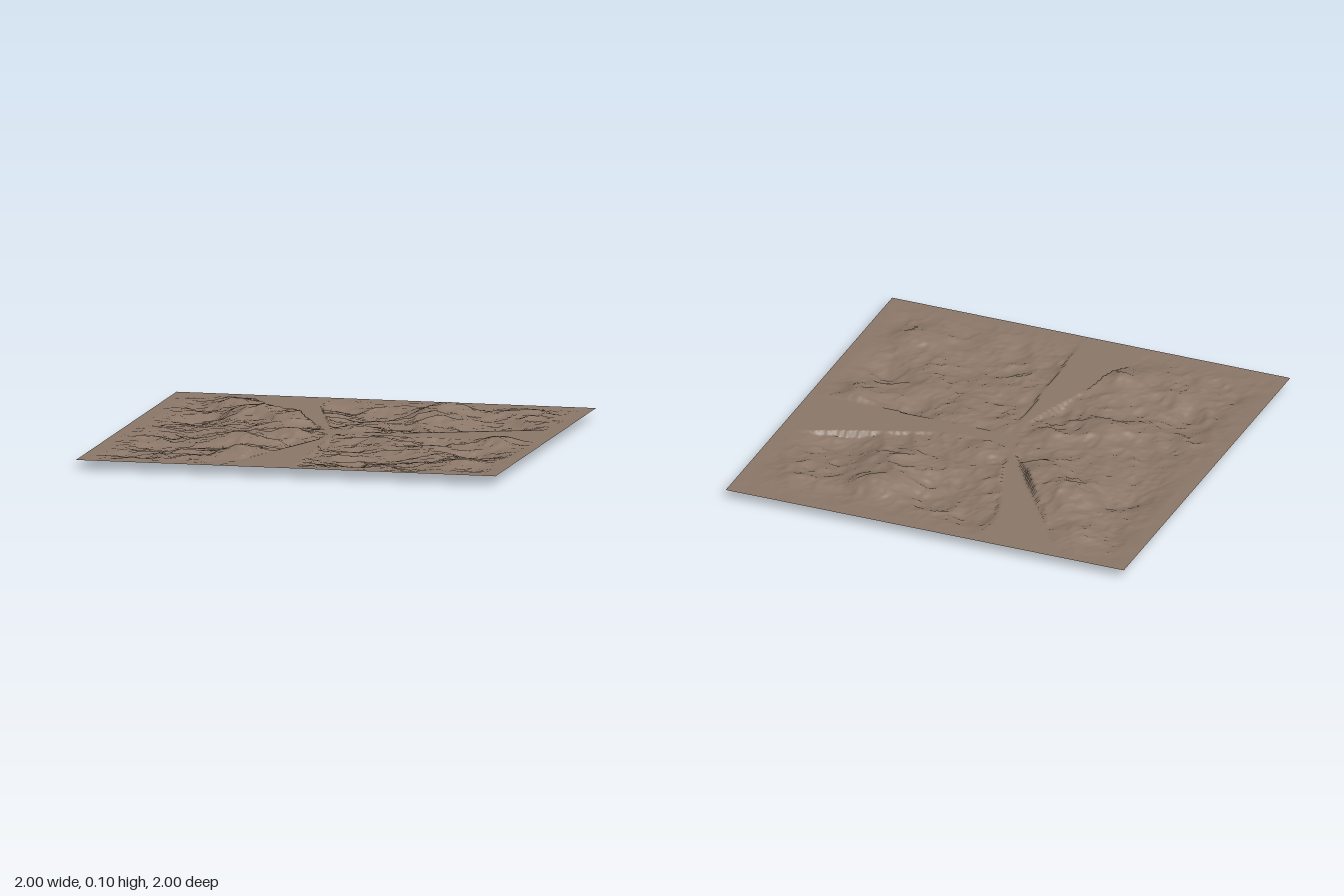
import * as THREE from 'three';

const LEVEL = 0.045; // height of the flat ground
const SEGMENTS = 190;

// Broad hills and hollows: x, z, radius, height
const LANDFORMS = [
  // back left of the sheet
  [-0.49, -0.42, 0.13, 0.054], [-0.28, -0.33, 0.12, 0.042], [-0.66, -0.78, 0.11, 0.020],
  [-0.50, -0.64, 0.10, 0.014], [-0.40, -0.20, 0.09, 0.014],
  [-0.74, -0.38, 0.12, -0.036], [-0.84, -0.66, 0.11, -0.022], [-0.78, -0.14, 0.11, -0.018],
  // back right
  [0.35, -0.68, 0.13, 0.054], [0.37, -0.46, 0.12, 0.030], [0.74, -0.74, 0.13, 0.018],
  [0.07, -0.62, 0.15, -0.040], [0.66, -0.35, 0.16, -0.034], [0.58, -0.60, 0.09, -0.014],
  [-0.14, -0.78, 0.10, -0.022], [0.05, -0.16, 0.08, 0.016], [0.20, -0.26, 0.09, -0.012],
  // front left
  [-0.19, 0.06, 0.09, 0.036], [-0.38, 0.21, 0.11, 0.036], [-0.27, 0.66, 0.12, 0.050],
  [-0.16, 0.28, 0.10, -0.032], [-0.69, 0.46, 0.14, -0.036], [-0.70, 0.10, 0.13, -0.018],
  [-0.55, 0.72, 0.12, 0.012], [-0.80, 0.76, 0.10, -0.018], [-0.45, 0.44, 0.09, -0.014],
  // front right
  [0.80, 0.07, 0.10, 0.030], [0.50, 0.08, 0.10, -0.026], [0.10, 0.30, 0.13, -0.028],
  [0.36, 0.57, 0.15, -0.032], [0.75, 0.34, 0.13, -0.034], [0.76, 0.70, 0.12, 0.022],
  [0.24, 0.13, 0.08, 0.022], [0.14, 0.74, 0.13, -0.022], [0.52, 0.32, 0.10, 0.012],
  [0.56, 0.80, 0.11, -0.014],
];

// Level corridors that meet in the middle, as x, z outlines
const CORRIDORS = [
  [[-0.70, -1.02], [-0.22, -1.02], [-0.26, -0.78], [-0.09, -0.26], [-0.04, -0.10], [-0.10, -0.15]],
  [[-0.04, -0.10], [0.25, -0.09], [1.02, -0.39], [1.02, 0.02], [0, 0], [-0.04, 0.02]],
  [[-0.04, 0], [0, 0], [0.03, 1.02], [-0.34, 1.02], [-0.05, 0.16]],
  [[-0.10, -0.15], [-0.04, -0.12], [0.02, -0.10], [0.02, 0.02], [-0.06, 0.01]],
];

function inside(poly, x, z) {
  let hit = false;
  for (let i = 0, j = poly.length - 1; i < poly.length; j = i++) {
    const [ax, az] = poly[i], [bx, bz] = poly[j];
    if ((az > z) !== (bz > z) && x < (bx - ax) * (z - az) / (bz - az) + ax) hit = !hit;
  }
  return hit;
}

// Seeded value noise in the range -1 to 1
function hash(i, j) {
  let h = Math.imul(i, 374761393) + Math.imul(j, 668265263) + 1013;
  h = Math.imul(h ^ (h >>> 13), 1274126177);
  return ((h ^ (h >>> 16)) >>> 0) / 2147483648 - 1;
}

function noise(x, z) {
  const i = Math.floor(x), j = Math.floor(z);
  const s = THREE.MathUtils.smootherstep(x - i, 0, 1);
  const t = THREE.MathUtils.smootherstep(z - j, 0, 1);
  const { lerp } = THREE.MathUtils;
  return lerp(
    lerp(hash(i, j), hash(i + 1, j), s),
    lerp(hash(i, j + 1), hash(i + 1, j + 1), s), t);
}

// Octaves of creased noise, each turned so its lattice does not show
function roughness(x, z) {
  let sum = 0;
  for (let o = 0, f = 8, a = 0.009; o < 4; o++, f *= 1.9, a *= 0.55) {
    const c = Math.cos(o + 0.5), s = Math.sin(o + 0.5);
    const n = noise((x * c - z * s) * f + o * 17.3, (x * s + z * c) * f - o * 9.1);
    sum += a * (0.6 - 1.6 * Math.abs(n));
  }
  return sum;
}

function heightAt(x, z) {
  if (CORRIDORS.some((poly) => inside(poly, x, z))) return LEVEL;
  // warp the position slightly so the hills are not round
  const wx = x + 0.03 * noise(x * 7 + 40, z * 7) + 0.012 * noise(x * 18, z * 18 + 5);
  const wz = z + 0.03 * noise(x * 7, z * 7 + 70) + 0.012 * noise(x * 18 + 9, z * 18);
  let h = roughness(x, z) - 0.003;
  for (const [cx, cz, r, amount] of LANDFORMS) {
    const d2 = (wx - cx) ** 2 + (wz - cz) ** 2;
    h += amount * Math.exp(-d2 / (r * r));
  }
  // fade to the flat border
  const border = 1 - Math.max(Math.abs(x), Math.abs(z));
  h *= THREE.MathUtils.smoothstep(border, -0.02, 0.24);
  if (border < 0.001) return LEVEL;
  return LEVEL + THREE.MathUtils.clamp(h, -LEVEL, 0.056);
}

export function createModel() {
  const group = new THREE.Group();
  group.name = 'terrain';

  const earth = new THREE.MeshStandardMaterial({ color: 0x8c7869, side: THREE.DoubleSide });
  earth.name = 'brown earth';

  // One sheet of ground, lifted and lowered by the height rule
  const geometry = new THREE.PlaneGeometry(2, 2, SEGMENTS, SEGMENTS).rotateX(-Math.PI / 2);
  const pos = geometry.attributes.position;
  for (let i = 0; i < pos.count; i++) pos.setY(i, heightAt(pos.getX(i), pos.getZ(i)));
  geometry.computeVertexNormals();

  const ground = new THREE.Mesh(geometry, earth);
  ground.name = 'ground';
  group.add(ground);
  return group;
}
